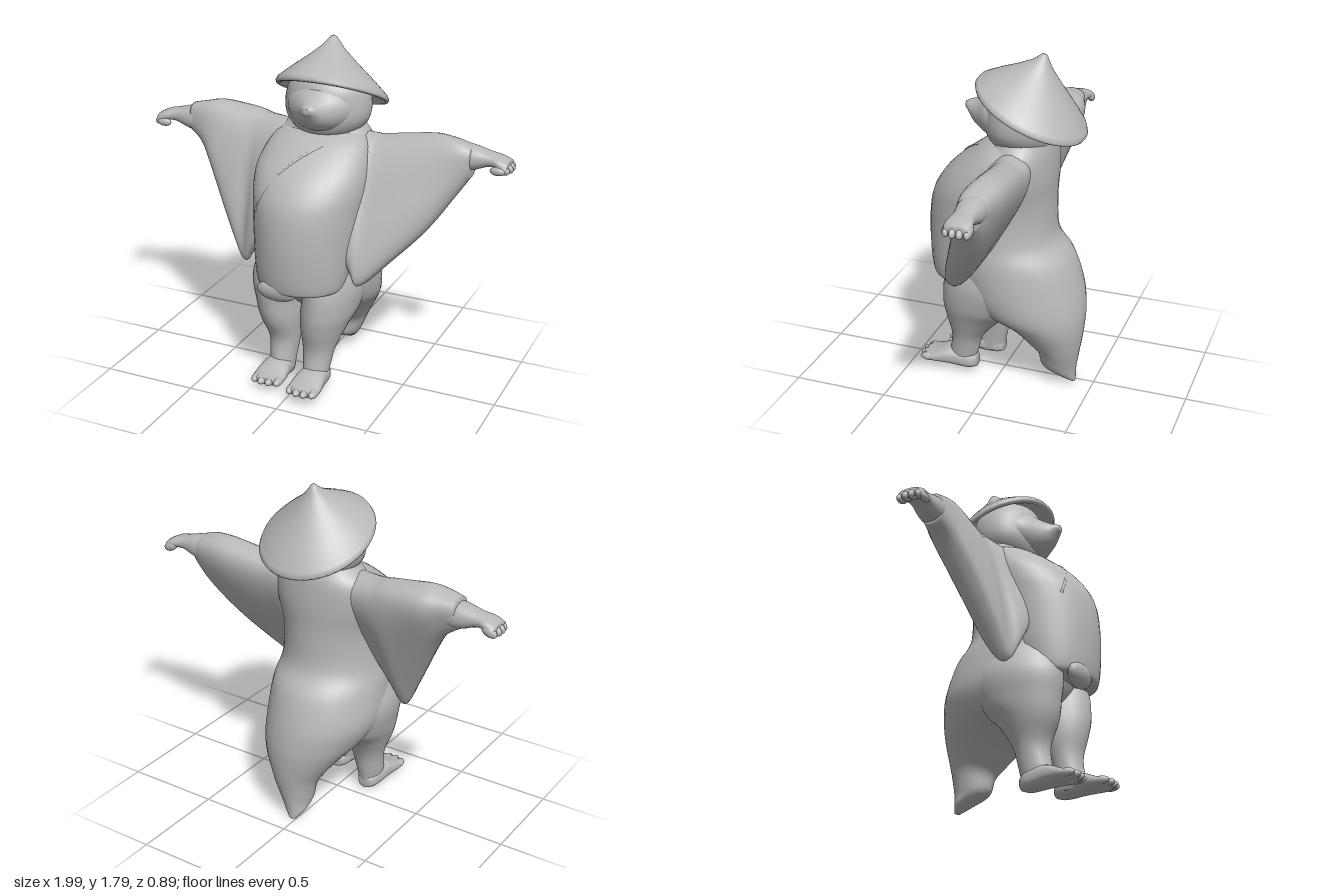
import * as THREE from 'three';

const N = 36;

// Catmull-Rom interpolation of every column in a section table
function refine(rows, steps = 5) {
  const out = [];
  const at = i => rows[Math.max(0, Math.min(rows.length - 1, i))];
  for (let i = 0; i < rows.length - 1; i++) {
    for (let s = 0; s < steps; s++) {
      const t = s / steps;
      out.push(rows[i].map((b, k) => {
        const a = at(i - 1)[k], c = at(i + 1)[k], d = at(i + 2)[k];
        return b + 0.5 * t * (c - a + t * (2 * a - 5 * b + 4 * c - d + t * (3 * (b - c) + d - a)));
      }));
    }
  }
  out.push(rows[rows.length - 1]);
  return out;
}

// Skin a closed solid over rings of N points, turned outward by its volume
function loft(rings) {
  const pos = [], idx = [];
  rings.forEach(r => r.forEach(p => pos.push(...p)));
  for (let i = 0; i < rings.length - 1; i++) {
    for (let j = 0; j < N; j++) {
      const a = i * N + j, b = i * N + (j + 1) % N;
      idx.push(a, b, a + N, b, b + N, a + N);
    }
  }
  [0, rings.length - 1].forEach((r, end) => {
    const c = pos.length / 3;
    pos.push(...[0, 1, 2].map(k => rings[r].reduce((s, p) => s + p[k], 0) / N));
    for (let j = 0; j < N; j++) {
      const a = r * N + j, b = r * N + (j + 1) % N;
      if (end) idx.push(a, b, c); else idx.push(b, a, c);
    }
  });
  const v = i => new THREE.Vector3().fromArray(pos, idx[i] * 3);
  let volume = 0;
  for (let i = 0; i < idx.length; i += 3) volume += v(i).dot(v(i + 1).cross(v(i + 2)));
  if (volume < 0) idx.reverse();
  const g = new THREE.BufferGeometry();
  g.setAttribute('position', new THREE.Float32BufferAttribute(pos, 3));
  g.setIndex(idx);
  g.computeVertexNormals();
  return g;
}

const power = (v, e) => Math.sign(v) * Math.abs(v) ** e;
const ring = f => Array.from({ length: N }, (_, j) => f(j / N * Math.PI * 2));

// Upright form; rows are [y, x centre, half width, z front, z back]
const upright = (rows, e = 1) => loft(refine(rows).map(([y, x, w, f, b]) => ring(a => [
  x + w * power(Math.cos(a), e), y, (f + b) / 2 + (f - b) / 2 * power(Math.sin(a), e)])));

// Sideways form; rows are [x, top y, top z, bottom y, bottom z, top half width, bottom half width]
const sideways = (rows, side, e = 0.9) => loft(refine(rows).map(([x, yt, zt, yb, zb, wt, wb]) => ring(a => {
  const t = (1 - power(Math.cos(a), e)) / 2, dy = yb - yt, dz = zb - zt, l = Math.hypot(dy, dz);
  const w = (wt + (wb - wt) * t) * power(Math.sin(a), e);
  return [side * x, yt + dy * t + w * dz / l, zt + dz * t - w * dy / l];
})));

// Lengthwise form; rows are [z, x, top y, bottom y, half width]
const lengthwise = (rows, e = 0.75) => loft(refine(rows).map(([z, x, t, b, w]) => ring(a => [
  x + w * Math.cos(a), (t + b) / 2 + (t - b) / 2 * power(Math.sin(a), e), z])));

export function createModel() {
  const model = new THREE.Group();
  const gray = new THREE.MeshStandardMaterial({ color: 0xb8b8b8 });
  gray.name = 'plain gray';
  const add = (name, geometry) => {
    const m = new THREE.Mesh(geometry, gray);
    m.name = name;
    model.add(m);
    return m;
  };
  const ball = (name, x, y, z, rx, ry, rz) => {
    const m = add(name, new THREE.SphereGeometry(1, 20, 14));
    m.position.set(x, y, z);
    m.scale.set(rx, ry, rz);
    return m;
  };

  // Back, hips and tapering tail
  add('bodyAndTail', upright([
    [1.48, 0.02, 0.17, 0, -0.27], [1.39, 0.015, 0.19, 0.03, -0.26], [1.3, 0, 0.27, 0.06, -0.27],
    [1.18, 0, 0.285, 0.12, -0.275], [1.02, 0, 0.265, 0.22, -0.27], [0.84, 0, 0.275, 0.27, -0.285],
    [0.72, 0, 0.295, 0.28, -0.37], [0.56, 0, 0.3, 0.24, -0.425], [0.44, 0.02, 0.265, 0.14, -0.445],
    [0.35, 0.035, 0.205, -0.04, -0.445], [0.25, 0.045, 0.14, -0.15, -0.435], [0.19, 0.045, 0.11, -0.205, -0.425],
    [0.1, 0.035, 0.08, -0.225, -0.41], [0.05, 0.025, 0.055, -0.31, -0.405], [0.01, 0.02, 0.02, -0.38, -0.405]]));

  // Robe over the round belly
  add('robe', upright([
    [1.36, 0.02, 0.18, 0.03, -0.2], [1.31, 0.01, 0.25, 0.125, -0.2], [1.2, 0, 0.29, 0.265, -0.2],
    [1.1, 0, 0.295, 0.345, -0.2], [1, 0, 0.285, 0.385, -0.2], [0.85, 0, 0.27, 0.4, -0.16],
    [0.7, 0, 0.25, 0.395, -0.06], [0.6, 0, 0.23, 0.38, 0], [0.585, 0, 0.2, 0.36, 0.03]]));
  add('lapelFold', new THREE.TubeGeometry(new THREE.CatmullRomCurve3([
    [0.08, 1.31, 0.112], [-0.02, 1.25, 0.203], [-0.1, 1.17, 0.272], [-0.16, 1.08, 0.306], [-0.2, 0.99, 0.302]]
    .map(p => new THREE.Vector3(...p))), 24, 0.007, 8));
  ball('hemLobe', -0.07, 0.585, 0.335, 0.11, 0.06, 0.04).rotation.x = 0.3;

  // Draped sleeves, each with its own hang
  const sleeves = {
    1: [[0.05, 1.33, -0.14, 0.95, 0.03, 0.13, 0.11], [0.18, 1.335, -0.15, 0.8, 0.12, 0.13, 0.11],
      [0.27, 1.33, -0.155, 0.67, 0.175, 0.13, 0.095], [0.32, 1.33, -0.155, 0.625, 0.185, 0.13, 0.08],
      [0.45, 1.35, -0.16, 0.75, 0.11, 0.125, 0.085], [0.6, 1.37, -0.16, 0.91, 0.02, 0.115, 0.08],
      [0.72, 1.36, -0.135, 1.085, -0.07, 0.095, 0.07], [0.79, 1.335, -0.12, 1.19, -0.1, 0.07, 0.055]],
    '-1': [[0.05, 1.33, -0.14, 0.95, 0.03, 0.13, 0.11], [0.2, 1.345, -0.15, 0.86, 0.11, 0.13, 0.11],
      [0.32, 1.355, -0.16, 0.68, 0.105, 0.135, 0.09], [0.38, 1.37, -0.165, 0.6, 0.085, 0.135, 0.07],
      [0.46, 1.38, -0.17, 0.74, 0.055, 0.13, 0.08], [0.6, 1.39, -0.17, 1.01, -0.02, 0.12, 0.08],
      [0.69, 1.38, -0.145, 1.15, -0.08, 0.095, 0.07], [0.77, 1.365, -0.13, 1.21, -0.11, 0.07, 0.055]],
  };
  for (const side of [1, -1]) {
    const name = side > 0 ? 'left' : 'right';
    add(name + 'Sleeve', sideways(sleeves[side], side, 0.74));
    // Forearm, paw and fingers
    add(name + 'Forearm', sideways([
      [0.6, 1.35, -0.13, 1.23, -0.12, 0.06, 0.06], [0.76, 1.35, -0.12, 1.215, -0.12, 0.07, 0.07],
      [0.87, 1.325, -0.12, 1.25, -0.12, 0.055, 0.055], [0.93, 1.31, -0.12, 1.25, -0.12, 0.066, 0.066],
      [0.975, 1.29, -0.12, 1.24, -0.12, 0.06, 0.06]], side));
    for (let i = 0; i < 4; i++) {
      const z = -0.172 + i * 0.034;
      ball(name + 'Finger', side * (0.96 - Math.abs(i - 1.5) * 0.008), 1.26, z, 0.042, 0.025, 0.019).rotation.z = -side * 0.4;
    }
    ball(name + 'Thumb', side * 0.93, 1.25, -0.06, 0.04, 0.022, 0.02);
  }

  // Legs, feet and toes; the right leg steps back
  const legs = {
    left: [[0.78, 0.13, 0.09, 0.2, -0.2], [0.6, 0.135, 0.145, 0.28, -0.24], [0.45, 0.12, 0.145, 0.3, -0.15],
      [0.35, 0.105, 0.12, 0.29, -0.02], [0.23, 0.095, 0.085, 0.265, 0.09], [0.12, 0.09, 0.07, 0.28, 0.125],
      [0.05, 0.09, 0.06, 0.3, 0.15]],
    right: [[0.78, -0.16, 0.09, 0.2, -0.2], [0.6, -0.165, 0.15, 0.28, -0.24], [0.45, -0.16, 0.135, 0.27, -0.17],
      [0.35, -0.15, 0.115, 0.25, -0.06], [0.23, -0.135, 0.085, 0.2, 0.01], [0.12, -0.135, 0.07, 0.21, 0.04],
      [0.03, -0.135, 0.06, 0.23, 0.06]],
  };
  for (const [name, x, z, y] of [['left', 0.095, 0, 0.02], ['right', -0.14, -0.07, 0]]) {
    add(name + 'Leg', upright(legs[name]));
    add(name + 'Foot', lengthwise([
      [0.125 + z, x, 0.08 + y, 0.015 + y, 0.035], [0.17 + z, x, 0.11 + y, 0.005 + y, 0.062],
      [0.27 + z, x, 0.12 + y, 0.015 + y, 0.076], [0.36 + z, x, 0.085 + y, 0.025 + y, 0.086],
      [0.415 + z, x, 0.07 + y, 0.035 + y, 0.07]]));
    for (let i = 0; i < 4; i++) {
      ball(name + 'Toe', x - 0.063 + i * 0.042, 0.052 + y, 0.405 + z - Math.abs(i - 1.5) * 0.012, 0.022, 0.021, 0.045);
    }
  }

  // Head with full cheeks and a tapering snout
  add('head', upright([
    [1.325, 0.02, 0.12, 0.03, -0.25], [1.36, 0.02, 0.18, 0.065, -0.265], [1.42, 0.02, 0.22, 0.085, -0.28],
    [1.5, 0.02, 0.225, 0.085, -0.29], [1.58, 0.02, 0.2, 0.075, -0.28], [1.65, 0.01, 0.13, 0.03, -0.24],
    [1.68, 0.01, 0.05, -0.05, -0.18]]));
  add('snout', lengthwise([
    [-0.02, 0.02, 1.61, 1.36, 0.19], [0.05, 0.02, 1.595, 1.365, 0.155], [0.105, 0.025, 1.56, 1.39, 0.1],
    [0.145, 0.03, 1.54, 1.42, 0.062], [0.175, 0.03, 1.53, 1.465, 0.04], [0.195, 0.03, 1.52, 1.49, 0.02]], 1));

  // Tilted conical hat, hollow beneath, with its tip leaning forward
  const hatGeometry = new THREE.LatheGeometry([
    [0, 0.2], [0.1, 0.145], [0.2, 0.065], [0.285, -0.012], [0.3, -0.012], [0.306, 0],
    [0.295, 0.022], [0.22, 0.085], [0.13, 0.155], [0.06, 0.215], [0.03, 0.25], [0.016, 0.268], [0, 0.272]]
    .map(p => new THREE.Vector2(...p)), 48);
  const p = hatGeometry.attributes.position;
  for (let i = 0; i < p.count; i++) {
    p.setX(i, p.getX(i) - p.getY(i) * 0.07);
    p.setZ(i, p.getZ(i) + p.getY(i) * 0.23);
  }
  hatGeometry.computeVertexNormals();
  const hat = add('conicalHat', hatGeometry);
  hat.position.set(0.02, 1.52, -0.145);
  hat.rotation.x = -0.44;
  hat.scale.x = 0.95;

  return model;
}
